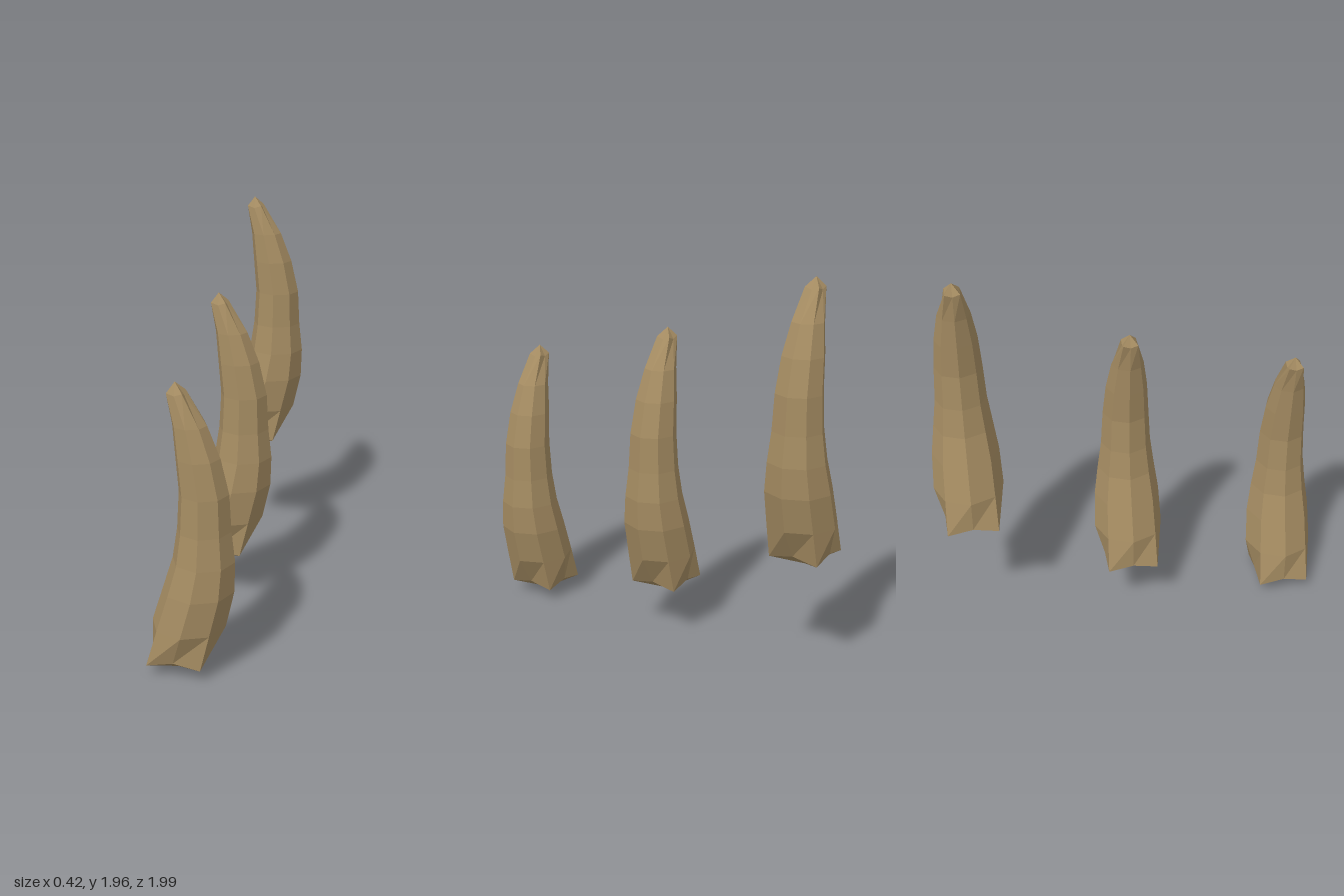
import * as THREE from 'three';

// Claw rings from root to tip: [centre x, height, radius]
const RINGS = [
  [-0.08, 0.06, 0.132], [-0.033, 0.24, 0.176], [0.015, 0.42, 0.168], [0.04, 0.57, 0.147],
  [0.043, 0.72, 0.127], [0.043, 0.9, 0.117], [0.016, 1.07, 0.104], [-0.02, 1.22, 0.08], [-0.08, 1.37, 0.037],
];
const SIDES = 8;

function clawGeometry() {
  const points = [], index = [];
  const last = RINGS.length - 1;
  RINGS.forEach(([cx, y, r], i) => {
    const end = i === 0 ? 1 : i === last ? -1 : 0; // end rings are square, with lifted mid points
    for (let j = 0; j < SIDES; j++) {
      const a = (j / SIDES) * Math.PI * 2;
      const diagonal = j % 2 === 1;
      const radius = end && diagonal ? r * 1.38 : r;
      const lift = diagonal ? 0 : end * (end > 0 ? 0.027 : 0.012);
      points.push(cx + Math.cos(a) * radius, y + lift, Math.sin(a) * radius);
    }
  });
  // Blunt pointed ends
  const root = points.length / 3, tip = root + 1;
  points.push(-0.09, 0, 0, -0.085, 1.415, 0);
  for (let j = 0; j < SIDES; j++) {
    const k = (j + 1) % SIDES;
    for (let i = 0; i < last; i++) {
      const a = i * SIDES + j, b = i * SIDES + k;
      index.push(a, a + SIDES, b, b, a + SIDES, b + SIDES);
    }
    index.push(root, j, k, tip, last * SIDES + k, last * SIDES + j);
  }
  const geometry = new THREE.BufferGeometry();
  geometry.setAttribute('position', new THREE.Float32BufferAttribute(points, 3));
  geometry.setIndex(index);
  const flat = geometry.toNonIndexed();
  flat.computeVertexNormals();
  return flat;
}

export function createModel() {
  const group = new THREE.Group();
  group.name = 'claws';
  const horn = new THREE.MeshStandardMaterial({ color: 0xa58c62 });
  horn.name = 'horn tan';
  horn.flatShading = true;
  const geometry = clawGeometry();

  // Three identical claws stepping up towards the back
  const places = [
    ['frontClaw', 0, 0, 0.82],
    ['middleClaw', 0.008, 0.205, -0.005],
    ['backClaw', 0.022, 0.545, -0.82],
  ];
  for (const [name, x, y, z] of places) {
    const claw = new THREE.Mesh(geometry, horn);
    claw.name = name;
    claw.position.set(x, y, z);
    group.add(claw);
  }
  return group;
}
